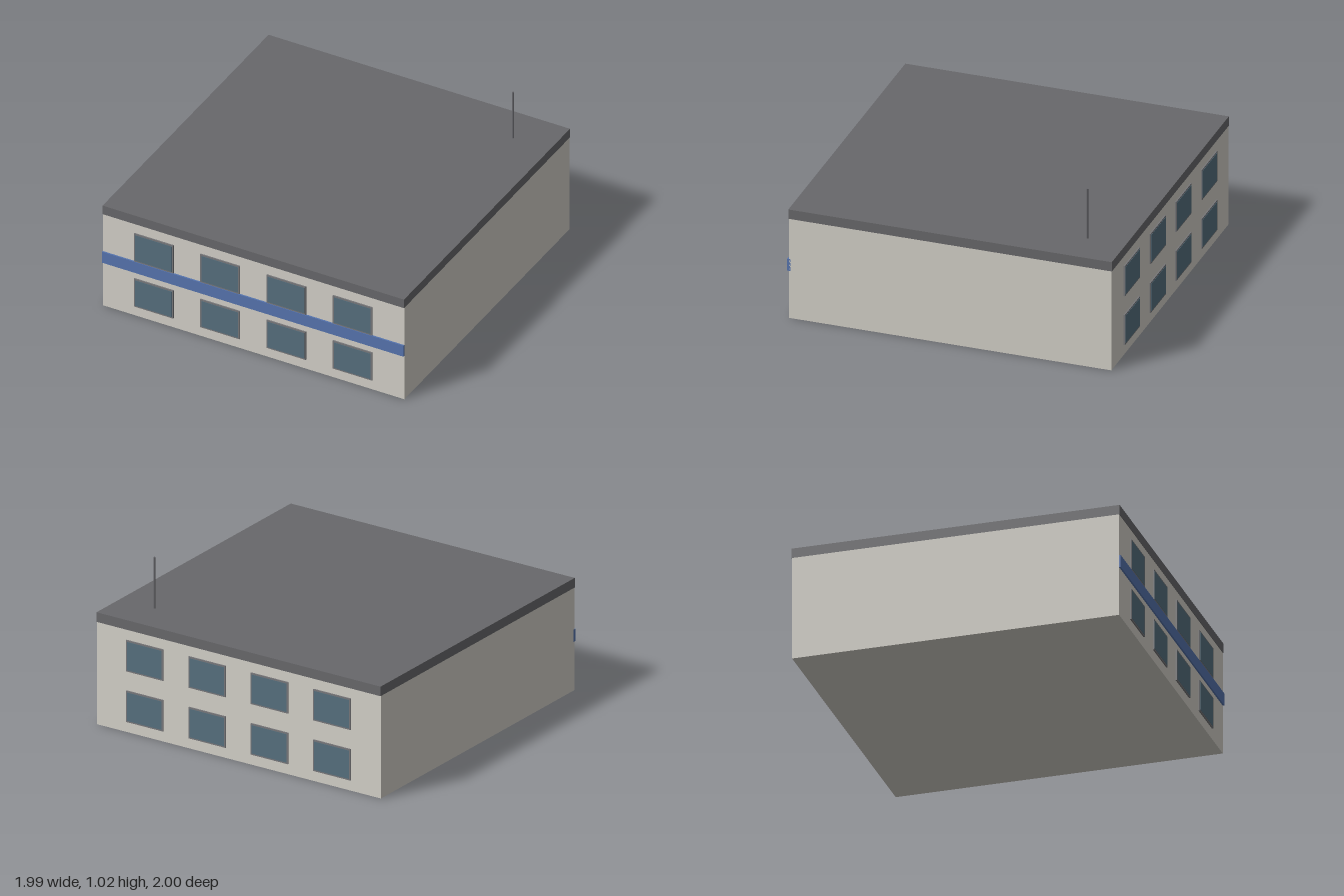
import * as THREE from 'three';

const material = (color) => new THREE.MeshStandardMaterial({ color });

export function createModel() {
  const building = new THREE.Group();
  building.name = 'building';
  const wall = material(0xd3d0c8);
  const roofGrey = material(0x68686b);
  const frameGrey = material(0x77777a);
  const glassBlue = material(0x566f7e);
  const bandBlue = material(0x5674ae);

  // Box given by its size and centre
  function box(parent, name, size, centre, mat) {
    const mesh = new THREE.Mesh(new THREE.BoxGeometry(...size), mat);
    mesh.name = name;
    mesh.position.set(...centre);
    parent.add(mesh);
    return mesh;
  }

  // Main block and flat roof slab
  box(building, 'walls', [1.986, 0.64, 1.98], [0, 0.32, 0], wall);
  box(building, 'roof', [1.986, 0.06, 1.986], [0, 0.67, 0], roofGrey);

  // Coloured band between the storeys, front only
  box(building, 'frontBand', [1.986, 0.076, 0.02], [0, 0.342, 0.99], bandBlue);

  // Two rows of four framed windows on the front and back
  for (const side of [1, -1]) {
    for (const y of [0.163, 0.479]) {
      for (const x of [-0.655, -0.218, 0.218, 0.655]) {
        const win = new THREE.Group();
        win.name = side > 0 ? 'frontWindow' : 'backWindow';
        win.position.set(x, y, side * 0.99);
        box(win, 'frame', [0.26, 0.195, 0.016], [0, 0, 0], frameGrey);
        box(win, 'glass', [0.242, 0.177, 0.02], [0, 0, 0], glassBlue);
        building.add(win);
      }
    }
  }

  // Roof antenna at the back left corner
  const antenna = new THREE.Mesh(new THREE.CylinderGeometry(0.006, 0.006, 0.33, 8), material(0x66666a));
  antenna.name = 'antenna';
  antenna.position.set(0.75, 0.855, -0.755);
  building.add(antenna);

  return building;
}
